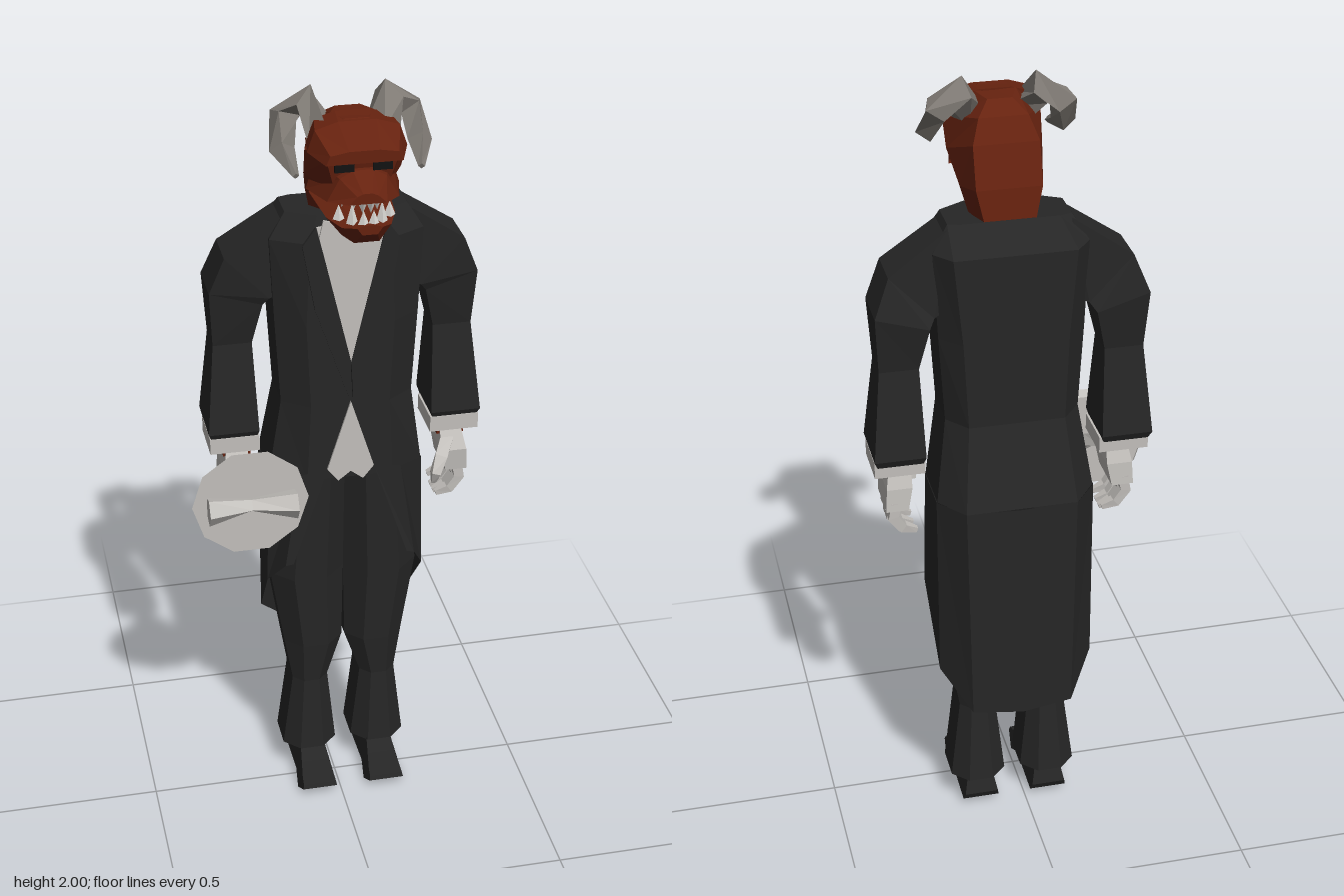
import * as THREE from 'three';

const mat = (name, color, side = THREE.FrontSide) =>
  new THREE.MeshStandardMaterial({ name, color, side, flatShading: true });

// Skin a list of equal-length rings of [x,y,z]; faces are turned outward
function loft(rings, { closed = true, caps = true } = {}) {
  const tris = [], n = rings[0].length;
  for (let i = 0; i < rings.length - 1; i++) {
    for (let j = 0; j < (closed ? n : n - 1); j++) {
      const k = (j + 1) % n;
      const a = rings[i][j], b = rings[i][k], c = rings[i + 1][k], d = rings[i + 1][j];
      tris.push([a, b, c], [a, c, d]);
    }
  }
  if (caps) {
    const last = rings[rings.length - 1];
    for (let j = 1; j < n - 1; j++) {
      tris.push([rings[0][0], rings[0][j + 1], rings[0][j]], [last[0], last[j], last[j + 1]]);
    }
  }
  const volume = tris.reduce((v, [a, b, c]) => v +
    a[0] * (b[1] * c[2] - b[2] * c[1]) - a[1] * (b[0] * c[2] - b[2] * c[0]) + a[2] * (b[0] * c[1] - b[1] * c[0]), 0);
  if (volume < 0) tris.forEach(t => t.reverse());
  const g = new THREE.BufferGeometry();
  g.setAttribute('position', new THREE.Float32BufferAttribute(tris.flat(2), 3));
  g.computeVertexNormals();
  return g;
}

// Half ring (front to back) completed by its mirror image
const mirrorRing = half => [...half, ...half.slice().reverse().map(([x, y, z]) => [-x, y, z])];

// Tapered limb with a faceted section following a path
function limb(path, radii, ref, sides) {
  const pts = path.map(p => new THREE.Vector3(...p));
  const up = new THREE.Vector3(...ref);
  return loft(pts.map((p, i) => {
    const t = pts[Math.min(i + 1, pts.length - 1)].clone().sub(pts[Math.max(i - 1, 0)]).normalize();
    const u = new THREE.Vector3().crossVectors(t, up).normalize();
    const v = new THREE.Vector3().crossVectors(t, u);
    return Array.from({ length: sides }, (_, j) => {
      const a = (j + 0.5) / sides * Math.PI * 2;
      return p.clone().addScaledVector(u, Math.cos(a) * radii[i]).addScaledVector(v, Math.sin(a) * radii[i]).toArray();
    });
  }));
}

// Thin flat plate facing +z
function plate(points, z, depth = 0.006) {
  const shape = new THREE.Shape(points.map(p => new THREE.Vector2(...p)));
  return new THREE.ExtrudeGeometry(shape, { depth, bevelEnabled: false }).translate(0, 0, z);
}

export function createModel() {
  const root = new THREE.Group();
  root.name = 'hornedButler';
  const body = new THREE.Group();
  body.name = 'figure';
  body.position.x = 0.03;
  root.add(body);
  const suit = mat('suitBlack', 0x262626, THREE.DoubleSide);
  const skin = mat('redBrownSkin', 0x66220f);
  const horn = mat('hornGrey', 0x7f7a74);
  const linen = mat('linen', 0xc2bfbb);
  const tooth = mat('tooth', 0xdad8d4);
  const dark = mat('eyeBlack', 0x121212);
  const add = (name, geometry, material, parent = body) => {
    const m = new THREE.Mesh(geometry, material);
    m.name = name;
    parent.add(m);
    return m;
  };

  // Jacket body: y, front x, front z, side x, side z front, side z back, back x, back z
  const jacket = [
    [1.685, 0.08, 0.03, 0.15, -0.01, -0.10, 0.12, -0.11],
    [1.62, 0.10, 0.05, 0.19, 0.00, -0.12, 0.15, -0.17],
    [1.40, 0.11, 0.05, 0.18, 0.00, -0.12, 0.13, -0.175],
    [1.18, 0.10, 0.05, 0.167, 0.00, -0.12, 0.12, -0.18],
    [0.97, 0.11, 0.05, 0.198, -0.01, -0.16, 0.14, -0.237],
  ].map(([y, xf, zf, xs, z1, z2, xb, zb]) =>
    mirrorRing([[xf, y, zf], [xs, y, z1], [xs, y, z2], [xb, y, zb]]));
  add('jacket', loft(jacket), suit);

  // Tails: open at the front, the hem falling towards the back
  const hem = z => 0.73 + (z - 0.06) * 1.19;
  const tailTop = [[0.06, 1.0, 0.056], [0.13, 0.99, 0.055], [0.2, 0.97, -0.01], [0.2, 0.97, -0.16], [0.14, 0.97, -0.237], [0, 0.97, -0.243]];
  const tailHem = [[0.15, 0.06], [0.17, 0.055], [0.207, -0.01], [0.2, -0.16], [0.13, -0.24], [0, -0.25]]
    .map(([x, z]) => [x, hem(z), z]);
  for (const s of [1, -1]) {
    const flip = ring => ring.map(([x, y, z]) => [s * x, y, z]);
    add('coatTail', loft([flip(tailTop), flip(tailHem)], { closed: false, caps: false }), suit);
  }

  // Shirt front, waistcoat and collar
  add('shirtFront', plate([[-0.085, 1.665], [-0.07, 1.6], [0, 1.3], [0.07, 1.6], [0.085, 1.665], [0, 1.675]], 0.05), linen);
  add('waistcoat', plate([[0, 1.19], [-0.06, 1.0], [-0.032, 0.965], [0, 0.99], [0.032, 0.965], [0.06, 1.0]], 0.051), linen);

  for (const s of [1, -1]) {
    const X = (x, y, z) => [s * x, y, z];
    const flat = pts => (s > 0 ? pts : pts.slice().reverse()).map(([x, y]) => [s * x, y]);
    add('collarWing', plate(flat([[0, 1.63], [0.04, 1.6], [0.08, 1.64], [0.07, 1.685], [0, 1.665]]), 0.057), linen);
    add('lapel', plate(flat([[0.088, 1.665], [0.07, 1.6], [0, 1.3], [0.005, 1.2], [0.09, 1.45], [0.12, 1.62]]), 0.05, 0.008), suit);

    // Trouser leg: y, inner x, outer x, front z, back z
    const leg = [
      [1.0, 0, 0.16, 0.03, -0.17], [0.65, 0, 0.195, 0.02, -0.16], [0.43, 0.004, 0.16, 0.01, -0.15],
      [0.31, 0.045, 0.14, 0, -0.14], [0.09, 0.022, 0.167, 0.01, -0.165],
    ].map(([y, x0, x1, zf, zb]) => {
      const c = (x1 - x0) * 0.28;
      return [X(x0, y, zf - c), X(x0 + c, y, zf), X(x1 - c, y, zf), X(x1, y, zf - c),
        X(x1, y, zb + c), X(x1 - c, y, zb), X(x0 + c, y, zb), X(x0, y, zb + c)];
    });
    add('trouserLeg', loft(leg), suit);

    // Shoe from its side profile (z, y), narrowed over the instep
    const shoe = [[0.11, 0.028], [0.06, 0], [0.0, 0.03], [-0.15, 0.02], [-0.16, 0.04], [-0.14, 0.1], [0, 0.1], [0.03, 0.06], [0.105, 0.04]];
    add('shoe', loft([0.04, 0.145].map((x, i) =>
      shoe.map(([z, y]) => X(x + (i ? -1 : 1) * y * 0.2, y, z)))), suit);

    // Sleeve: inner x,y, outer x,y, front z, back z
    const sleeve = [
      [0.14, 1.48, 0.15, 1.675, -0.01, -0.11], [0.19, 1.46, 0.298, 1.575, -0.01, -0.13],
      [0.205, 1.44, 0.336, 1.48, -0.02, -0.15], [0.23, 1.33, 0.328, 1.33, -0.04, -0.13],
      [0.222, 1.10, 0.35, 1.10, 0, -0.16], [0.228, 1.08, 0.342, 1.08, -0.01, -0.15],
    ].map(([xi, yi, xo, yo, zf, zb]) => [X(xi, yi, zf), X(xo, yo, zf), X(xo, yo, zb), X(xi, yi, zb)]);
    add('sleeve', loft(sleeve), suit);
    add('cuff', new THREE.BoxGeometry(0.126, 0.042, 0.13).translate(s * 0.284, 1.064, -0.07), linen);
    add('wrist', new THREE.BoxGeometry(0.07, 0.02, 0.08).translate(s * 0.278, 1.036, -0.06), skin);

    // Gloved hand with curled fingers
    const hand = new THREE.Group();
    hand.name = 'glovedHand';
    body.add(hand);
    const palm = [[1.045, 0.25, 0.305, -0.02, -0.09], [0.99, 0.25, 0.315, 0.01, -0.11], [0.93, 0.262, 0.318, 0.005, -0.115]]
      .map(([y, x0, x1, zf, zb]) => [X(x0, y, zf), X(x1, y, zf), X(x1, y, zb), X(x0, y, zb)]);
    add('palm', loft(palm), linen, hand);
    for (const [z, drop] of [[-0.01, 0.01], [-0.04, 0], [-0.07, 0], [-0.1, 0.015]]) {
      add('finger', limb([X(0.292, 0.95, z), X(0.3, 0.895 + drop, z), X(0.275, 0.86 + drop, z), X(0.24, 0.848 + drop, z)],
        [0.019, 0.019, 0.017, 0.009], [0, 0, 1], 4), linen, hand);
    }
    add('thumb', limb([X(0.27, 1.01, -0.02), X(0.24, 0.985, 0.035), X(0.222, 0.955, 0.055), X(0.22, 0.925, 0.045)],
      [0.022, 0.022, 0.016, 0.008], [1, 0, 0], 4), linen, hand);

    // Curled horn
    add('horn', limb([X(0.065, 1.89, 0.07), X(0.1, 1.965, 0.0), X(0.152, 1.93, -0.002), X(0.164, 1.865, 0.045), X(0.148, 1.832, 0.13)],
      [0.044, 0.042, 0.036, 0.03, 0.008], [s, 1, 0], 4), horn);
    // Eye under the brow
    add('eye', new THREE.BoxGeometry(0.045, 0.02, 0.008).translate(s * 0.045, 1.862, 0.176), dark);
  }

  // Skull and neck: [x, y, z] at front, side, back
  const skull = [
    [[0.04, 1.655, 0.02], [0.08, 1.66, -0.05], [0.06, 1.67, -0.11]],
    [[0.05, 1.71, 0.03], [0.1, 1.74, -0.01], [0.08, 1.76, -0.1]],
    [[0.06, 1.79, 0.15], [0.117, 1.81, 0.06], [0.08, 1.86, -0.07]],
    [[0.085, 1.88, 0.17], [0.12, 1.88, 0.09], [0.06, 1.915, -0.04]],
    [[0.03, 1.95, 0.10], [0.05, 1.95, 0.05], [0.03, 1.945, 0.0]],
  ].map(mirrorRing);
  add('skull', loft(skull), skin);

  // Face blocks running forward: z, top half width, bottom half width, top y, bottom y
  const block = (name, rows) => add(name, loft(rows.map(([z, wt, wb, yt, yb]) =>
    mirrorRing([[wt * 0.45, yt, z], [wt, yt - (yt - yb) * 0.25, z], [wb, yb, z]]))), skin);
  block('brow', [[0.05, 0.09, 0.11, 1.952, 1.89], [0.11, 0.1, 0.118, 1.948, 1.88], [0.19, 0.08, 0.09, 1.905, 1.875]]);
  block('muzzle', [[0.06, 0.09, 0.112, 1.86, 1.77], [0.175, 0.055, 0.085, 1.853, 1.782], [0.225, 0.025, 0.045, 1.815, 1.79]]);
  block('lowerJaw', [[0.01, 0.095, 0.05, 1.76, 1.68], [0.15, 0.082, 0.045, 1.748, 1.685], [0.215, 0.058, 0.03, 1.745, 1.692], [0.25, 0.03, 0.018, 1.748, 1.725]]);

  // Teeth set around the jaws
  for (const [x, z] of [[-0.06, 0.185], [-0.035, 0.215], [-0.012, 0.233], [0.012, 0.233], [0.035, 0.215], [0.06, 0.185]]) {
    const tall = Math.abs(x) === 0.035 ? 0.05 : 0.036;
    add('lowerTooth', new THREE.ConeGeometry(0.014, tall, 4).translate(x, 1.742 + tall / 2, z), tooth);
    add('upperTooth', new THREE.ConeGeometry(0.012, 0.03, 4).rotateX(Math.PI).translate(x * 0.8, 1.777, z - 0.02), tooth);
  }

  // Round lid held in the right hand, with a waisted handle
  const lid = new THREE.Group();
  lid.name = 'lid';
  lid.position.set(-0.235, 0.956, 0);
  root.add(lid);
  add('lidDisc', new THREE.CylinderGeometry(0.148, 0.135, 0.02, 10).rotateY(Math.PI / 10).rotateX(Math.PI / 2).translate(0, 0, 0.09), linen, lid);
  const handle = [[-0.11, 0.036, 0.16], [0, 0.016, 0.14], [0.112, 0.036, 0.167]]
    .map(([x, h, z]) => [[x, h * 0.7, 0.098], [x, h, z - 0.025], [x, 0, z], [x, -h, z - 0.025], [x, -h * 0.7, 0.098]]);
  add('lidHandle', loft(handle), linen, lid);

  return root;
}
